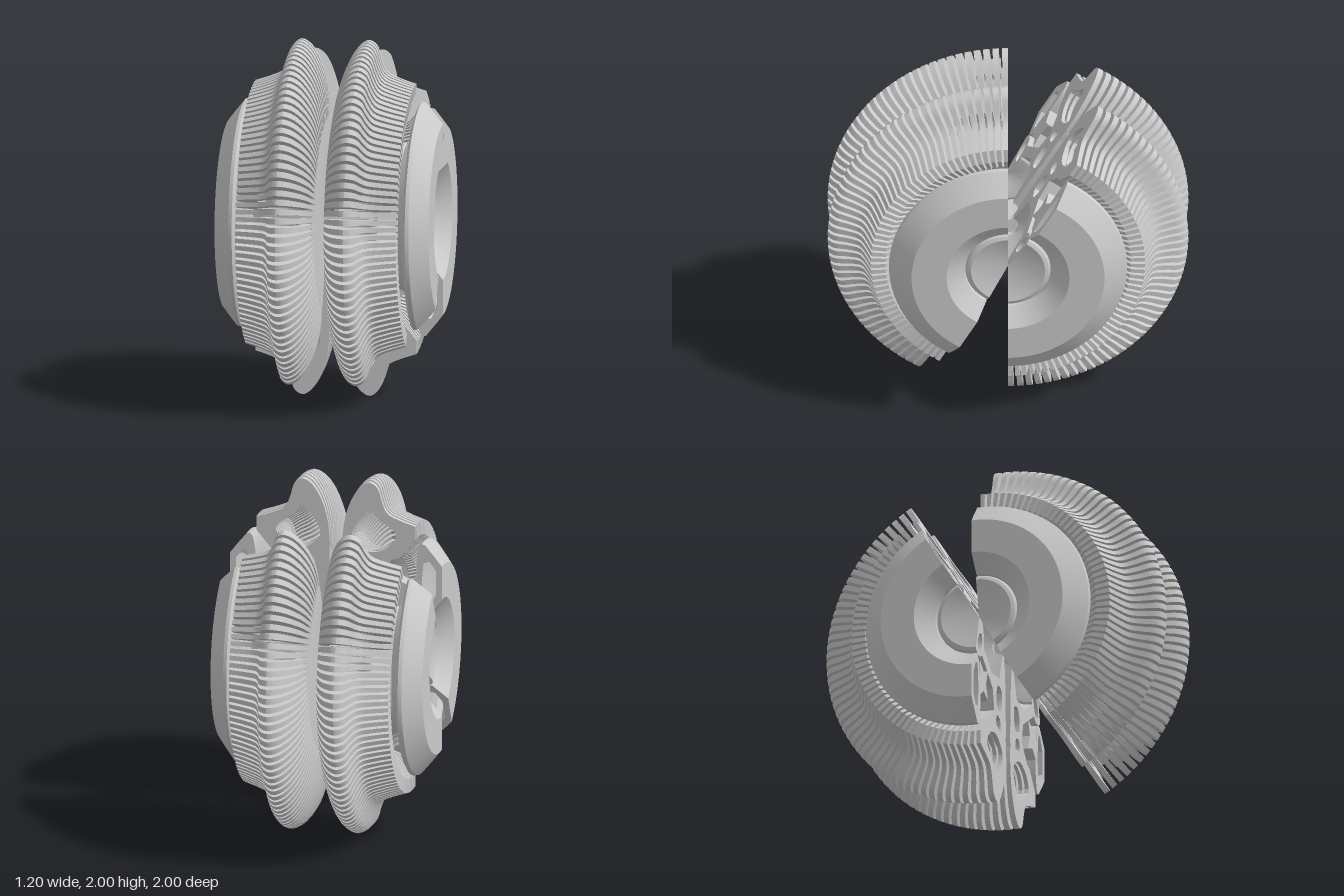
import * as THREE from 'three';
import { mergeGeometries, toCreasedNormals } from 'three/addons/utils/BufferGeometryUtils.js';

const DEG = Math.PI / 180;
const SECTOR = 150, FINS = 50, FIN_ANGLE = 1.9;
const material = new THREE.MeshStandardMaterial({ color: 0xcccccc, side: THREE.DoubleSide });

// Cross-section points are [distance along axle, radius].
const vectors = (pts, side) => pts.map(([x, r]) => new THREE.Vector2(x * side, r));

const smooth = (pts, n, closed = false) => {
  const curve = new THREE.CatmullRomCurve3(pts.map(([x, r]) => new THREE.Vector3(x, r, 0)), closed);
  const out = curve.getPoints(n).map((p) => [p.x, p.y]);
  if (closed) out.pop();
  return out;
};

// Sweep a hollow cross-section around the x axle from one angle to another.
function sweep(outline, holes, side, from, to, steps) {
  const shape = new THREE.Shape(vectors(outline, side));
  shape.holes = holes.map((h) => new THREE.Path(vectors(h, side)));
  const geo = new THREE.ExtrudeGeometry(shape, { depth: 1, steps, bevelEnabled: false });
  const p = geo.attributes.position;
  for (let i = 0; i < p.count; i++) {
    const r = p.getY(i), a = (from + (to - from) * p.getZ(i)) * DEG;
    p.setXYZ(i, p.getX(i), r * Math.cos(a), r * Math.sin(a));
  }
  geo.deleteAttribute('uv');
  return toCreasedNormals(geo, 0.45);
}

// Finned rim section: bulging tread, sloped shoulder, round inner channel
const finOutline = [
  ...smooth([[0.045, 0.5], [0.035, 0.62], [0.05, 0.78], [0.09, 0.9], [0.14, 0.975], [0.19, 1],
    [0.235, 0.97], [0.26, 0.89], [0.29, 0.825], [0.36, 0.79], [0.45, 0.76]], 28),
  [0.45, 0.68], [0.36, 0.57], [0.24, 0.53], [0.1, 0.55],
];
const finHole = smooth([[0.09, 0.67], [0.12, 0.77], [0.19, 0.84], [0.25, 0.78], [0.34, 0.71],
  [0.3, 0.63], [0.19, 0.595]], 20, true);

// Solid core section: inner wall, two channels, arm reaching to the hub
const coreOutline = [[0.04, 0.62], [0.035, 0.5], [0.045, 0.22], [0.06, 0.06], [0.09, 0.06], [0.14, 0.23],
  [0.26, 0.25], [0.4, 0.15], [0.43, 0.21], [0.25, 0.34], [0.225, 0.46], [0.32, 0.56], [0.22, 0.585], [0.1, 0.62]];
const coreHoles = [
  smooth([[0.13, 0.48], [0.125, 0.55], [0.17, 0.56], [0.195, 0.51], [0.18, 0.47]], 14, true),
  smooth([[0.1, 0.3], [0.12, 0.43], [0.18, 0.42], [0.19, 0.35], [0.16, 0.28]], 14, true),
];

// Side cap section: chamfered rim, flat face, conical dish
const capOutline = [[0.6, 0.34], [0.6, 0.535], [0.57, 0.575], [0.505, 0.655], [0.485, 0.66], [0.468, 0.635],
  [0.456, 0.56], [0.455, 0.44], [0.47, 0.28], [0.5, 0.235], [0.52, 0.24]];
const capHole = [[0.5, 0.29], [0.53, 0.3], [0.565, 0.37], [0.565, 0.51], [0.53, 0.56], [0.495, 0.55], [0.485, 0.44]];
const neckOutline = [[0.46, 0.26], [0.4, 0.3], [0.33, 0.27], [0.36, 0.36], [0.33, 0.45], [0.4, 0.42], [0.46, 0.47]];

// Hub section: rounded lip around a shallow cone
const hubOutline = [[0.475, 0.001], [0.52, 0.18], [0.528, 0.205], [0.52, 0.225], [0.5, 0.238], [0.46, 0.24],
  [0.42, 0.21], [0.39, 0.14], [0.4, 0.06], [0.42, 0.001]];
const hubHole = smooth([[0.43, 0.09], [0.425, 0.15], [0.46, 0.205], [0.495, 0.19], [0.47, 0.1]], 14, true);

export function createModel() {
  const model = new THREE.Group();
  model.name = 'sectionedFinnedWheels';
  for (const [side, sideName] of [[1, 'left'], [-1, 'right']]) {
    const wheel = new THREE.Group();
    wheel.name = sideName + 'Wheel';
    wheel.position.y = 1;
    for (const [start, end] of [[0, 'front'], [180, 'back']]) {
      const add = (name, geo) => {
        const mesh = new THREE.Mesh(geo, material);
        mesh.name = end + name;
        wheel.add(mesh);
      };
      const solid = (name, outline, holes = []) =>
        add(name, sweep(outline, holes, side, start, start + SECTOR, 50));

      solid('Core', coreOutline, coreHoles);
      solid('Cap', capOutline, [capHole]);
      solid('CapNeck', neckOutline);
      solid('Hub', hubOutline, [hubHole]);

      // Thin radial fins with open slots between them
      const fins = [];
      for (let i = 0; i < FINS; i++) {
        const a = start + (i * (SECTOR - FIN_ANGLE)) / (FINS - 1);
        fins.push(sweep(finOutline, [finHole], side, a, a + FIN_ANGLE, 1));
      }
      add('Fins', mergeGeometries(fins));
    }
    model.add(wheel);
  }
  return model;
}
